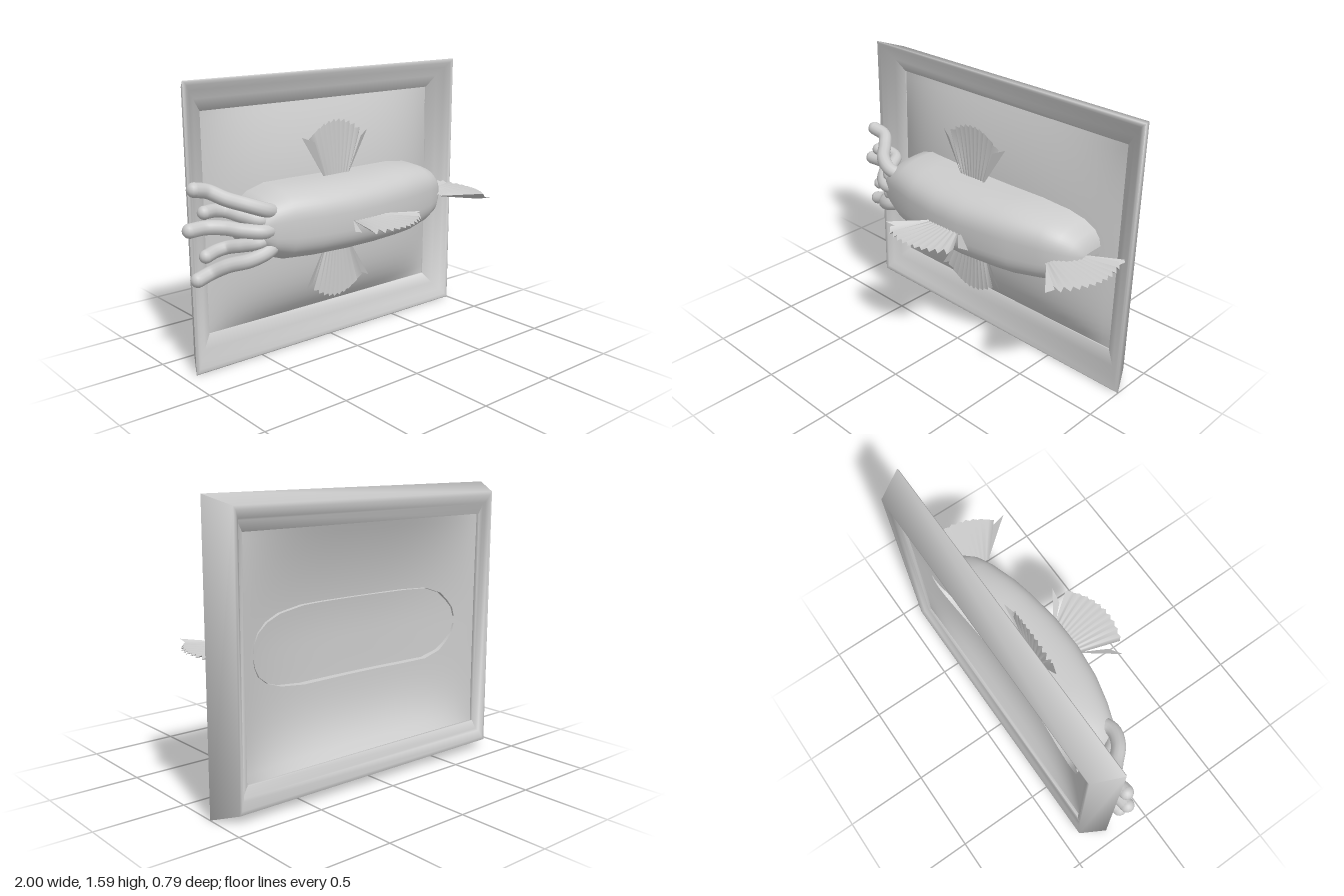
import * as THREE from 'three';
import { toCreasedNormals } from 'three/addons/utils/BufferGeometryUtils.js';

const grey = new THREE.MeshStandardMaterial({ color: 0xcccccc, side: THREE.DoubleSide });
const MID = 0.8; // height of the body axis

// Skin a grid of points given as rows of equal length
function loft(rows) {
  const n = rows[0].length, index = [];
  for (let i = 0; i < rows.length - 1; i++) {
    for (let j = 0; j < n - 1; j++) {
      const a = i * n + j, b = a + n;
      index.push(a, b, a + 1, b, b + 1, a + 1);
    }
  }
  const g = new THREE.BufferGeometry();
  g.setAttribute('position', new THREE.Float32BufferAttribute(rows.flat(2), 3));
  g.setIndex(index);
  g.computeVertexNormals();
  return g;
}

function add(parent, name, geometry) {
  const mesh = new THREE.Mesh(geometry, grey);
  mesh.name = name;
  parent.add(mesh);
  return mesh;
}

// Mitred frame with a softly dished face: each profile entry is inset in x, inset in y, z
function frameGeometry() {
  const profile = [
    [0.075, 0.05, -0.4], [0, 0, -0.25], [0.008, 0.008, -0.245], [0.025, 0.025, -0.252],
    [0.05, 0.055, -0.275], [0.09, 0.105, -0.308], [0.145, 0.175, -0.342],
    [0.145, 0.175, -0.365], [0.115, 0.12, -0.37], [0.11, 0.11, -0.385],
    [0.09, 0.07, -0.4], [0.075, 0.05, -0.4],
  ];
  const rows = profile.map(([ix, iy, z]) => {
    const l = -0.93 + ix, r = 1 - ix, b = iy, t = 1.59 - iy;
    return [[l, b, z], [r, b, z], [r, t, z], [l, t, z], [l, b, z]];
  });
  return toCreasedNormals(loft(rows), 1.5);
}

// Backing panel, swelling forward beneath the body
function panelGeometry() {
  const g = new THREE.PlaneGeometry(1.66, 1.26, 28, 24);
  const p = g.attributes.position;
  for (let i = 0; i < p.count; i++) {
    const u = p.getX(i) / 0.83, v = p.getY(i) / 0.63;
    const power = v > 0 ? 2 : 4.5;
    p.setZ(i, 0.14 * (1 - Math.abs(u) ** 3) * (1 - Math.abs(v) ** power));
  }
  g.translate(0.035, MID, -0.35);
  g.computeVertexNormals();
  return g;
}

// Open-backed hull: stations of x, half height, front z
function bodyGeometry() {
  const stations = [
    [-0.665, 0.02, -0.1], [-0.65, 0.075, -0.04], [-0.61, 0.125, 0], [-0.56, 0.17, 0.015],
    [-0.46, 0.205, 0.05], [-0.3, 0.21, 0.09], [-0.1, 0.21, 0.112], [0.1, 0.21, 0.108],
    [0.3, 0.21, 0.08], [0.42, 0.208, 0.055], [0.58, 0.187, 0.005], [0.67, 0.155, -0.035],
    [0.73, 0.11, -0.085], [0.757, 0.06, -0.13], [0.765, 0.015, -0.17],
  ];
  const n = 28, power = 0.65;
  return loft(stations.map(([x, h, top]) => {
    const base = -0.25 - 0.055 * ((x - 0.035) / 0.7) ** 2;
    const row = [];
    for (let j = 0; j <= n; j++) {
      const a = (j / n) * Math.PI, c = Math.cos(a);
      row.push([x, MID + h * Math.sign(c) * Math.abs(c) ** power,
        base + (top - base) * Math.max(0, Math.sin(a)) ** power]);
    }
    return row;
  }));
}

// Pleated fan in its own xy plane, opening towards +y, with a loose flap at each side
function fin(name, flapHeight) {
  const fan = new THREE.Group();
  fan.name = name;
  const n = 20, inner = [], outer = [];
  for (let i = 0; i <= n; i++) {
    const s = (i / n) * 2 - 1, fold = i % 2 ? 1 : -1;
    inner.push([s * 0.08, -0.03, fold * 0.003]);
    outer.push([s * 0.18, 0.31 - 0.08 * s * s + fold * 0.01, fold * (0.004 + 0.011 * s * s)]);
  }
  add(fan, 'pleatedFan', loft([inner, outer]));
  for (const s of [-1, 1]) {
    add(fan, 'sideFlap', loft([
      [[s * 0.08, -0.02, 0], [s * 0.075, -0.02, 0.004]],
      [[s * 0.235, flapHeight, -0.008], [s * 0.165, flapHeight - 0.03, 0.018]],
    ]));
  }
  return fan;
}

// Round arm with a domed tip
function tentacle(parent, name, points, radius) {
  const path = points.map((p) => new THREE.Vector3(...p));
  const curve = new THREE.CatmullRomCurve3(path);
  add(parent, name, new THREE.TubeGeometry(curve, 28, radius, 12));
  add(parent, name + 'Tip', new THREE.SphereGeometry(radius, 12, 10)).position.copy(path[path.length - 1]);
}

export function createModel() {
  const model = new THREE.Group();
  model.name = 'mountedSeaCreature';
  add(model, 'frame', frameGeometry());
  add(model, 'backingPanel', panelGeometry());
  add(model, 'body', bodyGeometry());

  // Upper and lower fins
  const upper = fin('upperFin', 0.235);
  upper.position.set(-0.03, 1.005, -0.15);
  const lower = fin('lowerFin', 0.235);
  lower.position.set(-0.03, 0.595, -0.15);
  lower.rotation.x = Math.PI;

  // Front fin, leaning towards the tail
  const front = fin('frontFin', 0.175);
  front.position.set(-0.015, MID, 0.1);
  front.rotation.set(Math.PI / 2, 0, -0.16);
  front.scale.set(1.2, 0.9, 1);

  // Tail fin, spreading in the horizontal plane
  const tail = fin('tailFin', 0.235);
  tail.position.set(0.7, MID, -0.07);
  tail.rotation.set(Math.PI / 2, 0, -Math.PI / 2 + 0.2);
  tail.scale.set(1.2, 0.87, 1);
  model.add(upper, lower, front, tail);

  // Five arms, paired above and below the middle one
  const arms = new THREE.Group();
  arms.name = 'tentacles';
  model.add(arms);
  tentacle(arms, 'middleTentacle', [
    [-0.52, 0.8, -0.05], [-0.63, 0.805, -0.02], [-0.72, 0.815, -0.08],
    [-0.78, 0.825, -0.15], [-0.86, 0.83, -0.2], [-0.96, 0.832, -0.195],
  ], 0.04);
  for (const s of [-1, 1]) {
    const side = s > 0 ? 'upper' : 'lower';
    tentacle(arms, side + 'OuterTentacle', [
      [-0.5, MID + s * 0.08, -0.07], [-0.6, MID + s * 0.115, -0.03], [-0.69, MID + s * 0.15, -0.06],
      [-0.77, MID + s * 0.18, -0.14], [-0.84, MID + s * 0.22, -0.2], [-0.925, MID + s * 0.242, -0.195],
    ], 0.04);
    tentacle(arms, side + 'InnerTentacle', [
      [-0.53, MID + s * 0.04, -0.08], [-0.63, MID + s * 0.06, -0.05], [-0.69, MID + s * 0.08, -0.12],
      [-0.74, MID + s * 0.1, -0.2], [-0.8, MID + s * 0.11, -0.21], [-0.88, MID + s * 0.118, -0.18],
    ], 0.037);
  }
  return model;
}
